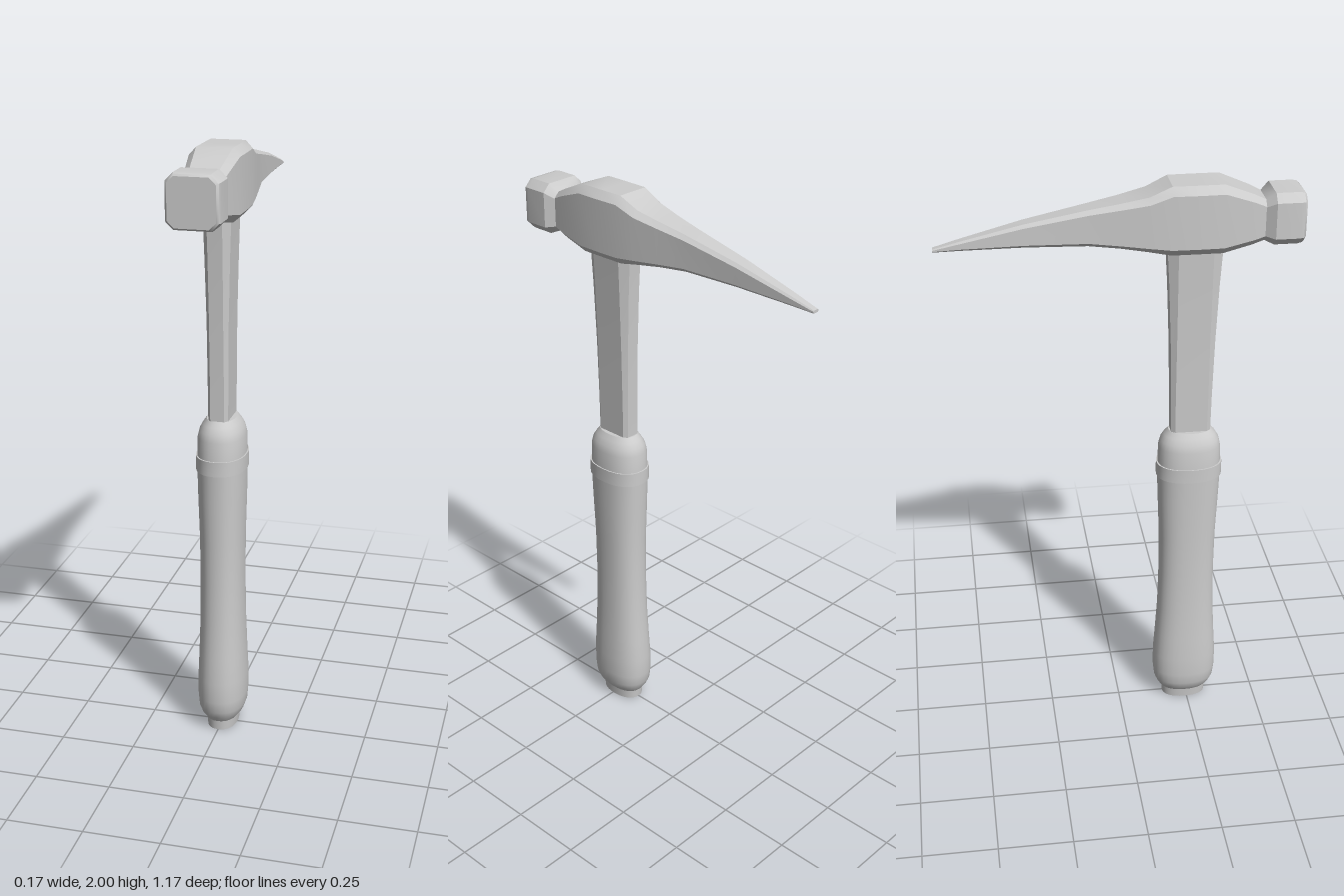
import * as THREE from 'three';
import { toCreasedNormals } from 'three/addons/utils/BufferGeometryUtils.js';

// Skin a list of closed rings (arrays of Vector3) and cap both ends.
function loft(rings, crease) {
  const pos = [];
  const tri = (...pts) => pts.forEach((p) => pos.push(p.x, p.y, p.z));
  const n = rings[0].length;
  const middle = (ring) => ring.reduce((s, p) => s.add(p), new THREE.Vector3()).divideScalar(n);
  const first = rings[0], last = rings[rings.length - 1];
  const c0 = middle(first), c1 = middle(last);
  for (let j = 0; j < n; j++) {
    const k = (j + 1) % n;
    for (let i = 0; i < rings.length - 1; i++) {
      const a = rings[i], b = rings[i + 1];
      tri(a[j], a[k], b[k]);
      tri(a[j], b[k], b[j]);
    }
    tri(c0, first[k], first[j]);
    tri(c1, last[j], last[k]);
  }
  const geo = new THREE.BufferGeometry();
  geo.setAttribute('position', new THREE.Float32BufferAttribute(pos, 3));
  return toCreasedNormals(geo, crease);
}

// Rectangle with cut corners, counter-clockwise: half sizes u, v and corner cuts cu, cv.
const chamfered = (u, v, cu, cv) => [
  [u, cv - v], [u, v - cv], [u - cu, v], [cu - u, v],
  [-u, v - cv], [-u, cv - v], [cu - u, -v], [u - cu, -v],
];

// Slightly squared oval.
function oval(u, v, n = 32) {
  const bend = (t) => Math.sign(t) * Math.abs(t) ** 0.88;
  return Array.from({ length: n }, (_, i) => {
    const a = (i / n) * Math.PI * 2;
    return [u * bend(Math.cos(a)), v * bend(Math.sin(a))];
  });
}

const HANDLE_Z = 0.243;
const upright = (y, outline) => outline.map(([u, v]) => new THREE.Vector3(v, y, HANDLE_Z + u));
const lengthwise = (z, yMid, outline) => outline.map(([u, v]) => new THREE.Vector3(u, yMid + v, z));

// Head section: z, bottom y, top y, half width, corner cuts in x and y.
const headRing = ([z, y0, y1, w, cx, cy]) =>
  lengthwise(z, (y0 + y1) / 2, chamfered(w, (y1 - y0) / 2, cx, cy));

export function createModel() {
  const steel = new THREE.MeshStandardMaterial({ color: 0xcccccc });
  steel.name = 'grey';
  const group = new THREE.Group();
  group.name = 'pickHammer';
  const add = (name, geo) => {
    const mesh = new THREE.Mesh(geo, steel);
    mesh.name = name;
    group.add(mesh);
  };

  // Head body tapering back into the pick
  add('headAndPick', loft([
    [-0.585, 1.805, 1.815, 0.012, 0.003, 0.003],
    [-0.5, 1.808, 1.838, 0.019, 0.006, 0.006],
    [-0.3, 1.812, 1.888, 0.033, 0.011, 0.01],
    [-0.1, 1.81, 1.928, 0.046, 0.014, 0.013],
    [0, 1.8, 1.947, 0.06, 0.019, 0.015],
    [0.09, 1.787, 1.967, 0.072, 0.021, 0.019],
    [0.16, 1.774, 2, 0.079, 0.023, 0.025],
    [0.24, 1.774, 2, 0.081, 0.024, 0.025],
    [0.325, 1.774, 2, 0.08, 0.023, 0.025],
    [0.42, 1.795, 1.961, 0.068, 0.02, 0.021],
    [0.47, 1.81, 1.935, 0.06, 0.018, 0.018],
  ].map(headRing), 0.4));

  // Square striking face with softened edges
  add('strikingFace', loft([
    [0.455, 1.808, 1.937, 0.06, 0.018, 0.018],
    [0.487, 1.795, 1.965, 0.084, 0.026, 0.026],
    [0.563, 1.795, 1.965, 0.084, 0.026, 0.026],
    [0.578, 1.798, 1.962, 0.081, 0.024, 0.024],
    [0.585, 1.804, 1.956, 0.074, 0.021, 0.021],
  ].map(headRing), 0.6));

  // Chamfered shaft flaring up to the head: y, half depth, half width, cuts
  add('shaft', loft([
    [1.1, 0.067, 0.033, 0.013, 0.01],
    [1.25, 0.069, 0.034, 0.014, 0.011],
    [1.45, 0.074, 0.036, 0.019, 0.013],
    [1.65, 0.082, 0.041, 0.026, 0.017],
    [1.8, 0.091, 0.046, 0.034, 0.021],
  ].map(([y, d, w, cd, cw]) => upright(y, chamfered(d, w, cd, cw))), 0.35));

  // Moulded grip: y, half depth, half width
  const ovals = (rows) => rows.map(([y, d, w]) => upright(y, oval(d, w)));
  add('grip', loft(ovals([
    [0.035, 0.084, 0.055], [0.055, 0.098, 0.07], [0.08, 0.109, 0.079],
    [0.12, 0.114, 0.082], [0.19, 0.114, 0.082], [0.28, 0.108, 0.078],
    [0.4, 0.101, 0.074], [0.55, 0.098, 0.072], [0.7, 0.099, 0.073],
    [0.85, 0.105, 0.077], [0.96, 0.109, 0.079],
  ]), 0.6));
  add('gripBand', loft(ovals([[0.948, 0.113, 0.083], [0.998, 0.113, 0.083]]), 0.6));
  add('gripCollar', loft(ovals([
    [0.99, 0.108, 0.079], [1.06, 0.106, 0.077], [1.085, 0.1, 0.071],
    [1.105, 0.088, 0.06], [1.122, 0.073, 0.048],
  ]), 0.6));

  // Butt of the handle
  add('buttCap', loft(ovals([[0, 0.079, 0.051], [0.045, 0.083, 0.055]]), 0.6));

  return group;
}
